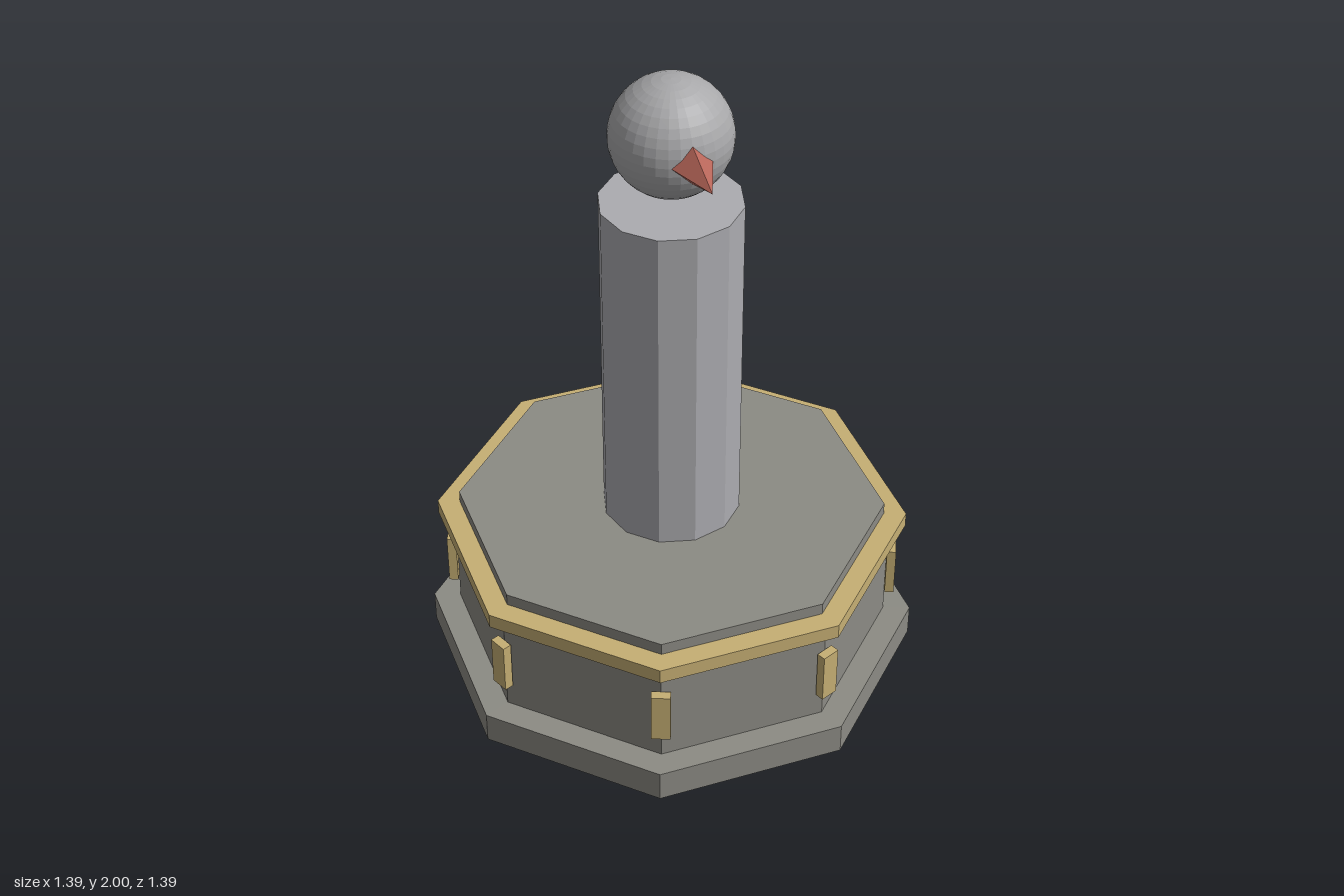
import * as THREE from 'three';

const material = (name, color) => {
  const m = new THREE.MeshStandardMaterial({ color, flatShading: true });
  m.name = name;
  return m;
};

export function createModel() {
  const model = new THREE.Group();
  model.name = 'pedestalMonument';

  const stone = material('stone', 0x8c8b84);
  const columnGrey = material('columnGrey', 0xacacb0);
  const headGrey = material('headGrey', 0xa8a8aa);
  const gold = material('gold', 0xc6af74);
  const red = material('terracotta', 0xb9675a);

  const add = (name, geometry, mat, parent = model) => {
    const mesh = new THREE.Mesh(geometry, mat);
    mesh.name = name;
    parent.add(mesh);
    return mesh;
  };

  // Octagonal slab with flat sides facing the axes
  const octagon = (name, apothem, y0, y1, mat) => {
    const r = apothem / Math.cos(Math.PI / 8);
    const g = new THREE.CylinderGeometry(r, r, y1 - y0, 8);
    g.rotateY(Math.PI / 8);
    add(name, g, mat).position.y = (y0 + y1) / 2;
  };
  octagon('baseStep', 0.695, 0, 0.1, stone);
  octagon('pedestalBody', 0.618, 0.1, 0.44, stone);
  octagon('goldBand', 0.665, 0.44, 0.487, gold);
  octagon('topSlab', 0.602, 0.487, 0.525, stone);

  // Gold blocks on the eight pedestal corners
  const blocks = new THREE.Group();
  blocks.name = 'cornerBlocks';
  model.add(blocks);
  const blockGeometry = new THREE.BoxGeometry(0.057, 0.165, 0.028);
  for (let i = 0; i < 8; i++) {
    const a = (i + 0.5) * Math.PI / 4;
    const block = add('cornerBlock', blockGeometry, gold, blocks);
    block.position.set(Math.sin(a) * 0.682, 0.272, Math.cos(a) * 0.682);
    block.rotation.y = a;
  }

  // Twelve-sided column
  add('column', new THREE.CylinderGeometry(0.21, 0.21, 1.085, 12), columnGrey).position.y = 1.0675;

  // Round head hovering just above the column
  add('head', new THREE.SphereGeometry(0.178, 32, 20), headGrey).position.y = 1.822;

  // Four-sided beak pointing forward
  const beak = new THREE.ConeGeometry(0.07, 0.18, 4);
  beak.rotateX(Math.PI / 2);
  add('beak', beak, red).position.set(0, 1.822, 0.23);

  return model;
}
